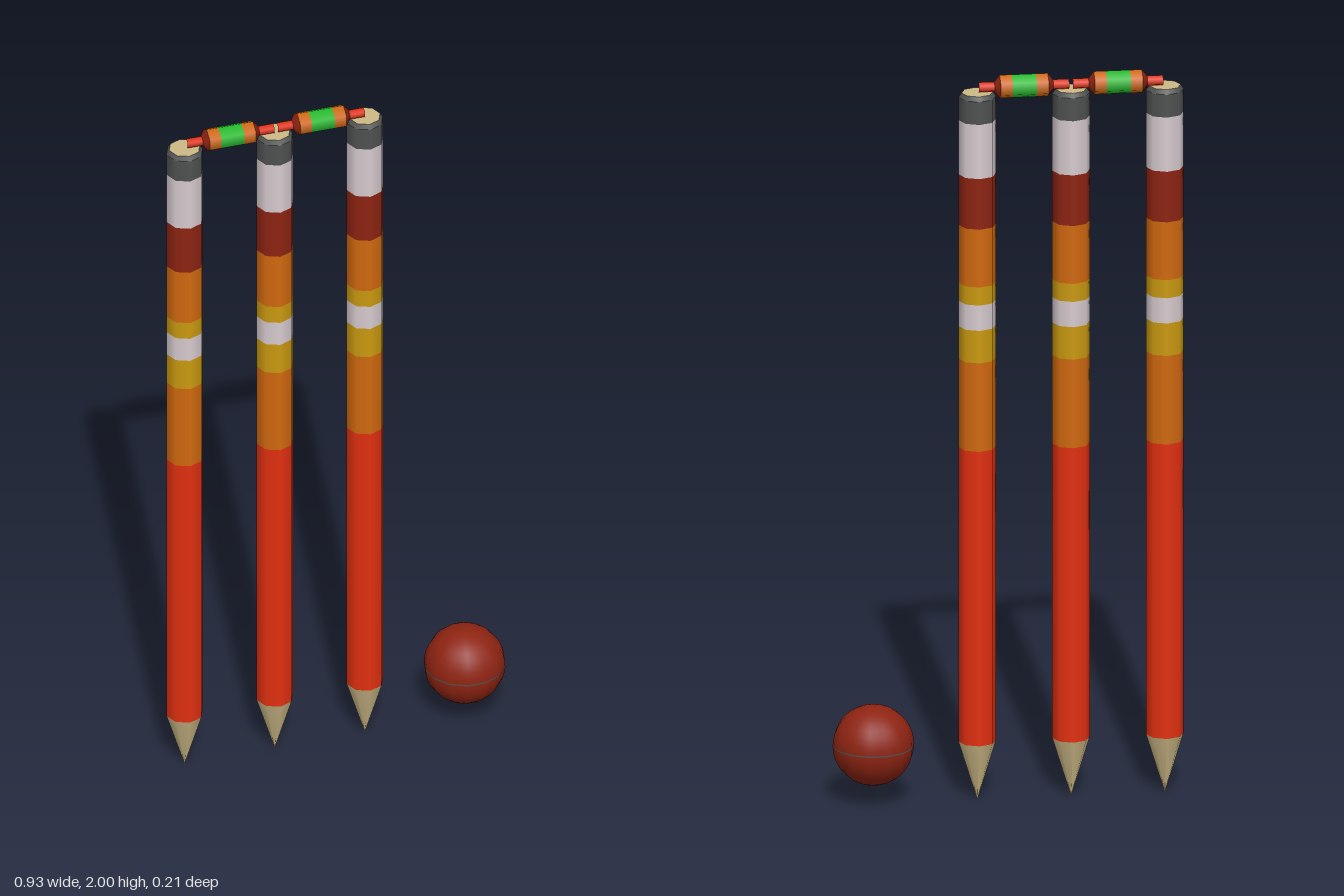
import * as THREE from 'three';

const mat = (name, color) => {
  const m = new THREE.MeshStandardMaterial({ color });
  m.name = name;
  return m;
};

export function createModel() {
  const red = mat('red', 0xe23010);
  const orange = mat('orange', 0xd2690f);
  const yellow = mat('yellow', 0xcb9a10);
  const white = mat('white', 0xd8ccd0);
  const darkRed = mat('dark red', 0x8e2412);
  const grey = mat('dark grey', 0x505252);
  const wood = mat('wood', 0xcdb986);
  const green = mat('green', 0x22bb2a);

  const add = (parent, name, geometry, material) => {
    const mesh = new THREE.Mesh(geometry, material);
    mesh.name = name;
    parent.add(mesh);
    return mesh;
  };

  // Open tapered tube running from height a to height b
  const band = (parent, name, a, b, ra, rb, sides, material) => {
    const g = new THREE.CylinderGeometry(rb, ra, b - a, sides, 1, true);
    g.translate(0, (a + b) / 2, 0);
    return add(parent, name, g, material);
  };

  const model = new THREE.Group();
  model.name = 'wicketAndBall';

  // Stumps: pointed foot, painted bands, bevelled cap
  const R = 0.05;
  const stumpBands = [
    ['tip', 0, 0.16, 0.001, R, wood],
    ['lowerShaft', 0.16, 0.975, R, R, red],
    ['lowerOrangeBand', 0.975, 1.22, R, R, orange],
    ['lowerYellowBand', 1.22, 1.31, R, R, yellow],
    ['middleWhiteBand', 1.31, 1.38, R, R, white],
    ['upperYellowBand', 1.38, 1.43, R, R, yellow],
    ['upperOrangeBand', 1.43, 1.59, R, R, orange],
    ['darkRedBand', 1.59, 1.73, R, R, darkRed],
    ['topWhiteBand', 1.73, 1.88, R, R, white],
    ['cap', 1.88, 1.943, R, R, grey],
    ['capBevel', 1.943, 1.955, R, 0.042, grey],
  ];
  [-0.417, -0.168, 0.081].forEach((x, i) => {
    const stump = new THREE.Group();
    stump.name = `stump${i + 1}`;
    stump.position.x = x;
    for (const [name, a, b, ra, rb, m] of stumpBands) band(stump, name, a, b, ra, rb, 8, m);
    const top = new THREE.CircleGeometry(0.042, 8);
    top.rotateX(-Math.PI / 2);
    top.translate(0, 1.955, 0);
    add(stump, 'stumpTop', top, wood);
    model.add(stump);
  });

  // Bails: hollow spigots, conical shoulders, striped barrel (built along y, laid along x)
  const bailBands = [
    ['spigot', -0.12, -0.078, 0.014, 0.014, red],
    ['shoulder', -0.078, -0.064, 0.014, 0.032, darkRed],
    ['barrelEnd', -0.064, -0.032, 0.032, 0.032, orange],
    ['barrelMiddle', -0.032, 0.032, 0.032, 0.032, green],
    ['barrelEnd', 0.032, 0.064, 0.032, 0.032, orange],
    ['shoulder', 0.064, 0.078, 0.032, 0.014, darkRed],
    ['spigot', 0.078, 0.12, 0.014, 0.014, red],
  ];
  [-0.292, -0.042].forEach((x, i) => {
    const bail = new THREE.Group();
    bail.name = `bail${i + 1}`;
    for (const [name, a, b, ra, rb, m] of bailBands) {
      // Turn the hexagon so that one corner points up once laid down
      band(bail, name, a, b, ra, rb, 6, m).geometry.rotateY(Math.PI / 2);
    }
    bail.rotation.z = -Math.PI / 2;
    bail.position.set(x, 1.968, 0);
    model.add(bail);
  });

  // Ball with a thin seam around its middle
  const ball = new THREE.Group();
  ball.name = 'ball';
  ball.position.set(0.357, 0.16, 0);
  add(ball, 'ballBody', new THREE.SphereGeometry(0.108, 14, 20), darkRed);
  band(ball, 'seam', -0.002, 0.002, 0.1088, 0.1088, 14, grey).geometry.rotateY(Math.PI / 2);
  model.add(ball);

  return model;
}
